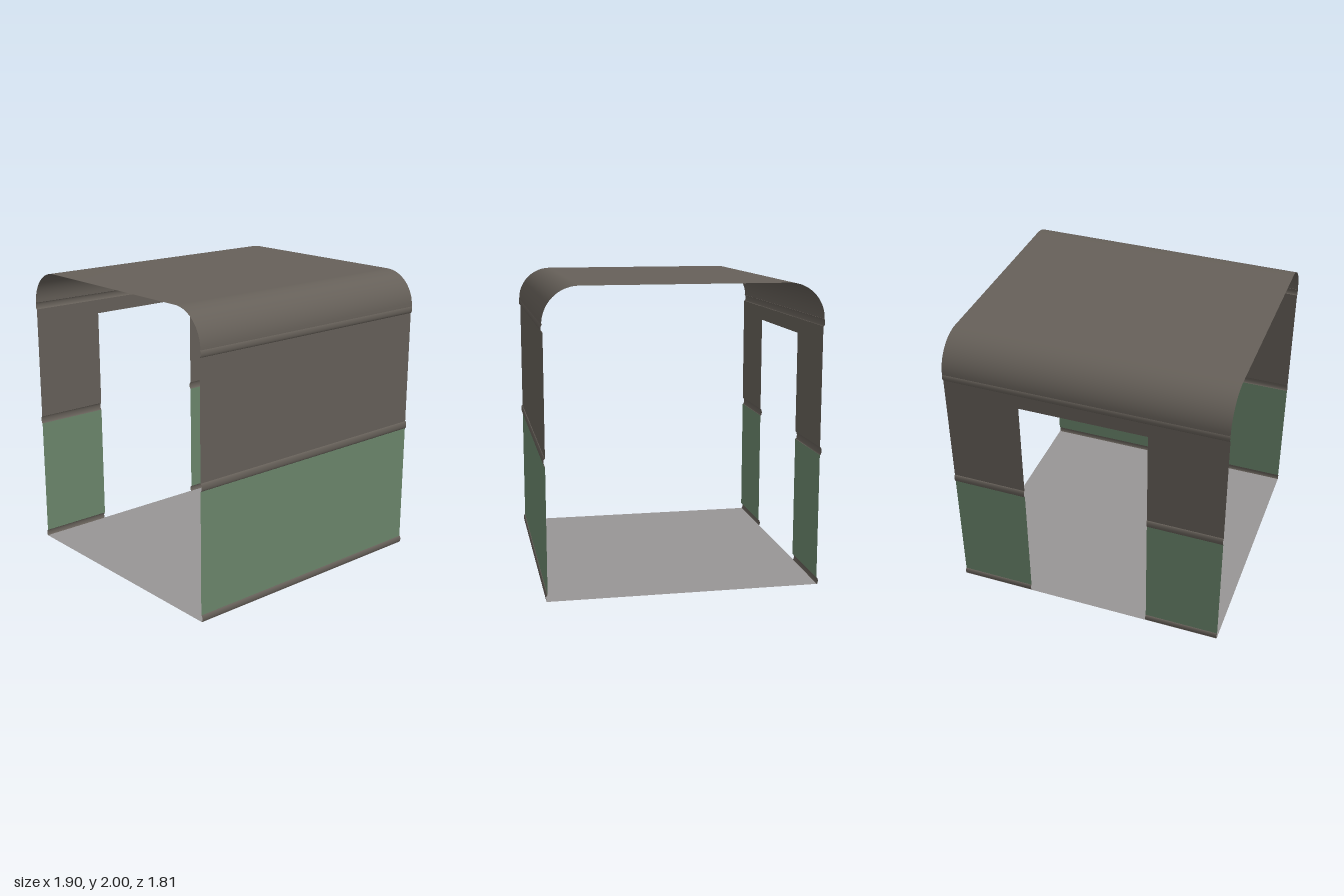
import * as THREE from 'three';

const HALF_X = 0.95, WALL_Z = 0.893, DOOR_X = 0.433, DOOR_TOP = 1.62;

const paint = (name, color) => {
  const m = new THREE.MeshStandardMaterial({ color, side: THREE.DoubleSide });
  m.name = name;
  return m;
};

// Sweeps an open [z, y] profile along x; a profile listed upwards at +z faces outwards.
function ribbon(profile, x0, x1) {
  const pos = [], index = [];
  profile.forEach(([z, y], i) => {
    pos.push(x0, y, z, x1, y, z);
    if (i) {
      const a = 2 * i - 2;
      index.push(a, a + 1, a + 3, a, a + 3, a + 2);
    }
  });
  const g = new THREE.BufferGeometry();
  g.setAttribute('position', new THREE.Float32BufferAttribute(pos, 3));
  g.setIndex(index);
  g.computeVertexNormals();
  return g;
}

// Shallow rounded moulding between two heights
function bead(y0, y1) {
  const pts = [[WALL_Z, y0]];
  for (let i = 0; i <= 6; i++) {
    const a = (i / 6 - 0.5) * Math.PI * 0.8;
    pts.push([WALL_Z + 0.011 * Math.cos(a), (y0 + y1) / 2 + (y1 - y0) / 2 * Math.sin(a) / Math.sin(Math.PI * 0.4)]);
  }
  pts.push([WALL_Z, y1]);
  return pts;
}

export function createModel() {
  const model = new THREE.Group();
  model.name = 'openCabinShell';
  const brown = paint('brownPanel', 0x666059);
  const green = paint('greenPanel', 0x6b866c);
  const grey = paint('greyFloor', 0x989595);

  const add = (parent, name, geometry, material) => {
    const mesh = new THREE.Mesh(geometry, material);
    mesh.name = name;
    parent.add(mesh);
  };
  const flat = (y0, y1) => [[WALL_Z, y0], [WALL_Z, y1]];

  // Wall column: skirting, green lower panel, rail and brown upper panel
  const column = (wall, x0, x1, top) => {
    add(wall, 'skirting', ribbon(bead(0, 0.045), x0, x1), brown);
    add(wall, 'lowerPanel', ribbon(flat(0.045, 0.88), x0, x1), green);
    add(wall, 'middleRail', ribbon(bead(0.88, 0.932), x0, x1), brown);
    add(wall, 'upperPanel', ribbon(flat(0.932, top), x0, x1), brown);
  };

  // Solid front wall
  const front = new THREE.Group();
  front.name = 'frontWall';
  column(front, -HALF_X, HALF_X, 1.72);

  // Back wall with a central doorway
  const back = new THREE.Group();
  back.name = 'backWall';
  back.rotation.y = Math.PI;
  column(back, -HALF_X, -DOOR_X, 1.72);
  column(back, DOOR_X, HALF_X, 1.72);
  add(back, 'doorHeader', ribbon(flat(DOOR_TOP, 1.72), -DOOR_X, DOOR_X), brown);

  for (const wall of [front, back]) {
    add(wall, 'topRail', ribbon(bead(1.72, 1.768), -HALF_X, HALF_X), brown);
    model.add(wall);
  }

  // Roof sheet with a rounded shoulder on each side
  const r = 0.235, edge = 0.9, roof = [];
  for (let i = 0; i <= 16; i++) {
    const a = i / 16 * Math.PI / 2;
    roof.push([edge - r + r * Math.cos(a), 2 - r + r * Math.sin(a)]);
  }
  const mirrored = roof.map(([z, y]) => [-z, y]).reverse();
  add(model, 'roof', ribbon([...roof, ...mirrored], -HALF_X, HALF_X), brown);

  // Floor sheet
  add(model, 'floor', ribbon([[edge, 0.001], [-edge, 0.001]], -HALF_X, HALF_X), grey);
  return model;
}
